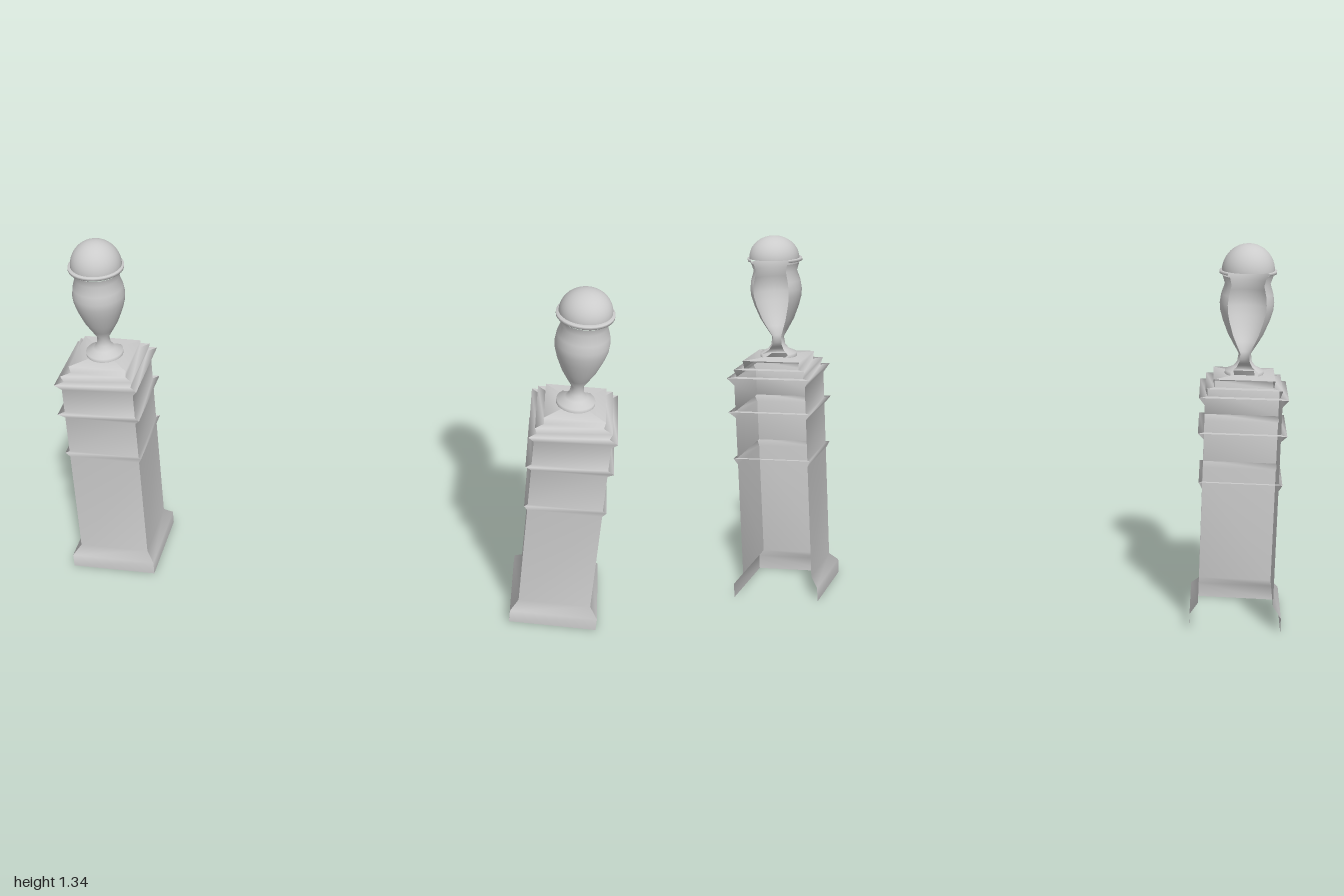
import * as THREE from 'three';

const material = new THREE.MeshStandardMaterial({ color: 0xcccccc, side: THREE.DoubleSide });

// Square pedestal profile, bottom to top: [half width, height]
const PEDESTAL = [
  [0.158, 0], [0.158, 0.052], [0.13, 0.085], [0.13, 0.505], [0.142, 0.53],
  [0.13, 0.53], [0.13, 0.68], [0.15, 0.705], [0.13, 0.705], [0.13, 0.8],
  [0.15, 0.83], [0.122, 0.83], [0.13, 0.857], [0.1, 0.857], [0.104, 0.885], [0.035, 0.888],
];

// Round urn profile: [radius, height]
const URN = [
  [0.066, 0.886], [0.066, 0.9], [0.038, 0.913], [0.025, 0.93], [0.021, 0.958],
  [0.04, 0.99], [0.06, 1.025], [0.08, 1.075], [0.09, 1.11], [0.092, 1.135],
  [0.088, 1.165], [0.077, 1.2], [0.086, 1.228],
];

const RIM = [[0.086, 1.236], [0.097, 1.236], [0.097, 1.246], [0.08, 1.246]];

const toPoints = (list) => list.map(([r, y]) => new THREE.Vector2(r, y));

function addMesh(parent, name, geometry) {
  const mesh = new THREE.Mesh(geometry, material);
  mesh.name = name;
  parent.add(mesh);
  return mesh;
}

// One mitred side of a square profile, facing +z
function sideGeometry(profile) {
  const positions = [];
  const index = [];
  profile.forEach(([h, y], i) => {
    positions.push(-h, y, h, h, y, h);
    if (i > 0) {
      const a = 2 * (i - 1);
      index.push(a, a + 1, a + 3, a, a + 3, a + 2);
    }
  });
  const geometry = new THREE.BufferGeometry();
  geometry.setAttribute('position', new THREE.Float32BufferAttribute(positions, 3));
  geometry.setIndex(index);
  geometry.computeVertexNormals();
  return geometry;
}

function createPedestal() {
  const pedestal = new THREE.Group();
  pedestal.name = 'pedestal';
  // Front and flanks carry the full moulded profile
  const wall = sideGeometry(PEDESTAL);
  [['frontWall', 0], ['leftWall', Math.PI / 2], ['rightWall', -Math.PI / 2]].forEach(([name, angle]) => {
    addMesh(pedestal, name, wall).rotation.y = angle;
  });
  // The back is open: only the level ledges run round it
  for (let i = 1; i < PEDESTAL.length; i++) {
    const pair = [PEDESTAL[i - 1], PEDESTAL[i]];
    if (Math.abs(pair[0][1] - pair[1][1]) < 0.005) {
      addMesh(pedestal, 'backLedge', sideGeometry(pair)).rotation.y = Math.PI;
    }
  }
  return pedestal;
}

function createUrn(domeHeight, domeShift) {
  const urn = new THREE.Group();
  urn.name = 'urn';
  // Three quarters of a turn, open at the back
  const start = -0.75 * Math.PI;
  const sweep = 1.5 * Math.PI;
  addMesh(urn, 'urnBody', new THREE.LatheGeometry(toPoints(URN), 24, start, sweep));
  addMesh(urn, 'urnRim', new THREE.LatheGeometry(toPoints(RIM), 24, start, sweep));
  // Domed lid
  const dome = addMesh(urn, 'urnLid',
    new THREE.SphereGeometry(0.089, 32, 12, 0, Math.PI * 2, 0, Math.PI / 2));
  dome.scale.y = domeHeight / 0.089;
  dome.position.set(0, 1.246, domeShift);
  return urn;
}

function createPillar(name, x, z, domeHeight, domeShift) {
  const pillar = new THREE.Group();
  pillar.name = name;
  pillar.add(createPedestal(), createUrn(domeHeight, domeShift));
  pillar.position.set(x, 0, z);
  pillar.rotation.y = 0.024;
  return pillar;
}

export function createModel() {
  const model = new THREE.Group();
  model.name = 'gatePillars';
  model.add(
    createPillar('leftPillar', 0.838, 0.0125, 0.079, -0.007),
    createPillar('rightPillar', -0.838, -0.0125, 0.091, -0.004),
  );
  return model;
}
